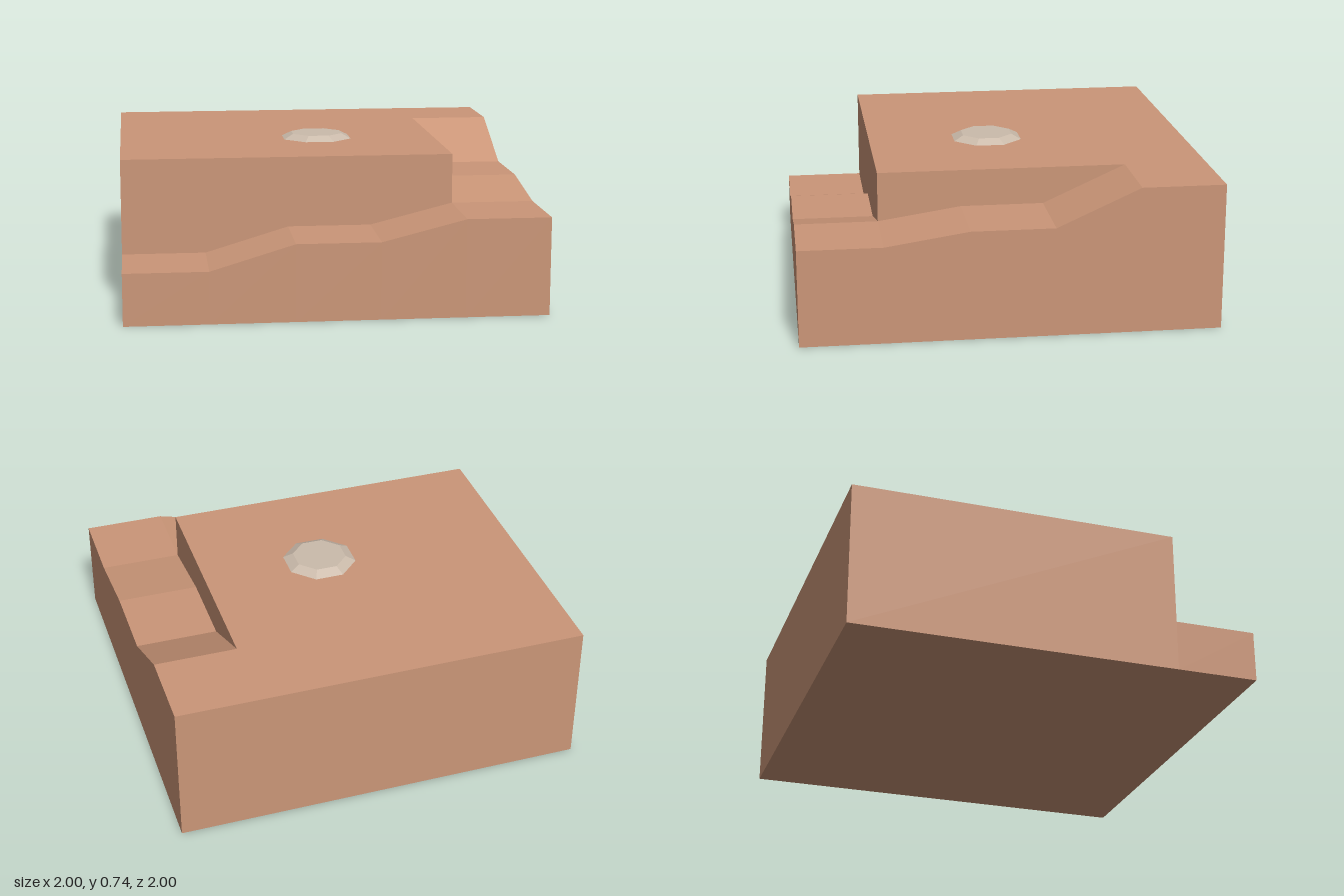
import * as THREE from 'three';

const H = 0.71;    // plateau height
const E = 0.6;     // inner edge of the path
// path heights along the front (x, y) and along the right-hand side (z, y)
const frontPath = [[-1, 0.25], [-0.6, 0.25], [-0.2, 0.37], [0.2, 0.37], [0.6, 0.47], [1, 0.47]];
const sidePath = [[1, 0.47], [0.6, 0.47], [0.2, 0.53], [-0.2, 0.53], [-0.6, H], [-1, H]];

// Ribbon between two rows of points, lower row first, running left to right seen from outside
function strip(lower, upper) {
  const out = [];
  for (let i = 0; i < lower.length - 1; i++) {
    const [a, b, c, d] = [lower[i], lower[i + 1], upper[i + 1], upper[i]];
    out.push(...a, ...b, ...c, ...a, ...c, ...d);
  }
  return out;
}

function part(name, positions, material) {
  const geometry = new THREE.BufferGeometry();
  geometry.setAttribute('position', new THREE.Float32BufferAttribute(positions, 3));
  geometry.computeVertexNormals();
  const mesh = new THREE.Mesh(geometry, material);
  mesh.name = name;
  return mesh;
}

export function createModel() {
  const group = new THREE.Group();
  group.name = 'terrainTile';
  const earth = new THREE.MeshStandardMaterial({ color: 0xcb9678, flatShading: true, side: THREE.DoubleSide });
  const stone = new THREE.MeshStandardMaterial({ color: 0xcbbbab, flatShading: true });

  const front = (z, height) => frontPath.map(([x, y]) => [x, height ?? y, z]);
  const side = (x, height) => sidePath.map(([z, y]) => [x, height ?? y, z]);

  // Sloping path around the front and right edges
  group.add(part('frontPath', strip(front(1), front(E)), earth));
  group.add(part('sidePath', strip(side(1).slice(1), side(E).slice(1)), earth));

  // Cliffs between the path and the plateau
  group.add(part('frontCliff', strip(front(E).slice(0, 5), front(E, H).slice(0, 5)), earth));
  group.add(part('sideCliff', strip(side(E).slice(1, 5), side(E, H).slice(1, 5)), earth));

  // Plateau top
  group.add(part('plateau', strip([[-1, H, E], [E, H, E]], [[-1, H, -1], [E, H, -1]]), earth));

  // Outer walls and underside
  group.add(part('frontWall', strip(front(1, 0), front(1)), earth));
  group.add(part('rightHandWall', strip(side(1, 0), side(1)), earth));
  group.add(part('backWall', strip([[1, 0, -1], [-1, 0, -1]], [[1, H, -1], [-1, H, -1]]), earth));
  group.add(part('leftHandWall', [
    ...strip([[-1, 0, -1], [-1, 0, E]], [[-1, H, -1], [-1, H, E]]),
    ...strip([[-1, 0, E], [-1, 0, 1]], [[-1, 0.25, E], [-1, 0.25, 1]]),
  ], earth));
  group.add(part('underside', strip([[-1, 0, -1], [1, 0, -1]], [[-1, 0, 1], [1, 0, 1]]), earth));

  // Low eight-sided stone set in the plateau
  const rock = new THREE.Mesh(new THREE.CylinderGeometry(0.134, 0.184, 0.025, 8), stone);
  rock.name = 'rock';
  rock.rotation.y = Math.PI / 8;
  rock.position.y = H + 0.0125;
  group.add(rock);

  return group;
}
